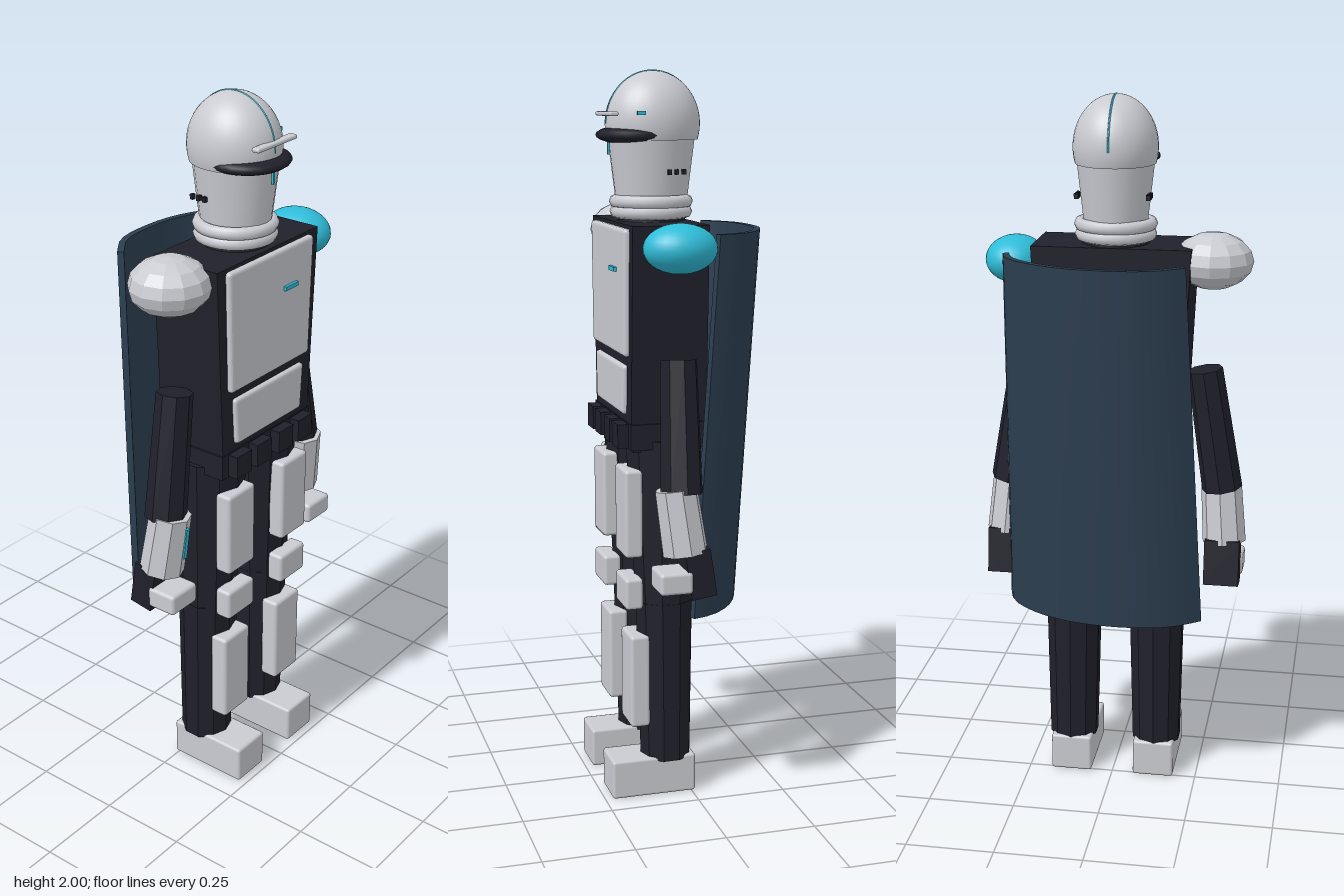
import * as THREE from 'three';
import { RoundedBoxGeometry } from 'three/addons/geometries/RoundedBoxGeometry.js';

const mat = (name, color, extra = {}) => Object.assign(new THREE.MeshStandardMaterial({ color, ...extra }), { name });

export function createModel() {
  const root = new THREE.Group();
  root.name = 'armouredFigure';
  const armour = mat('armourGrey', 0xc9cbd1);
  const facetArmour = armour;
  const suit = mat('suitDark', 0x20202b);
  const cloth = mat('capeBlue', 0x2c3e50);
  const cyan = mat('accentCyan', 0x2fbcd8);

  const add = (name, geo, material, x = 0, y = 0, z = 0, parent = root) => {
    const m = new THREE.Mesh(geo, material);
    m.name = name;
    m.position.set(x, y, z);
    parent.add(m);
    return m;
  };
  const box = (w, h, d) => new THREE.BoxGeometry(w, h, d);
  const plate = (w, h, d, r = 0.01) => new RoundedBoxGeometry(w, h, d, 2, r);
  // Box or plate whose width varies linearly from bottom to top
  const taper = (geo, h, bottom) => {
    const p = geo.attributes.position;
    for (let i = 0; i < p.count; i++) {
      const t = p.getY(i) / h + 0.5;
      p.setX(i, p.getX(i) * (bottom + (1 - bottom) * t));
    }
    geo.computeVertexNormals();
    return geo;
  };
  const flat = (geo) => {
    const g = geo.toNonIndexed();
    g.computeVertexNormals();
    return g;
  };
  // Faceted limb between two points
  const limb = (name, a, b, ra, rb, material, sides = 10) => {
    const A = new THREE.Vector3(...a), B = new THREE.Vector3(...b);
    const d = A.clone().sub(B);
    const m = add(name, flat(new THREE.CylinderGeometry(ra, rb, d.length(), sides)), material);
    m.position.copy(A).add(B).multiplyScalar(0.5);
    m.quaternion.setFromUnitVectors(new THREE.Vector3(0, 1, 0), d.normalize());
    return m;
  };

  // Torso and waist
  add('torso', taper(box(0.44, 0.54, 0.21), 0.54, 0.88), suit, 0, 1.33, 0.07);
  add('pelvis', box(0.36, 0.1, 0.19), suit, 0, 1.04, 0.07);
  add('belt', box(0.4, 0.07, 0.215), suit, 0, 1.035, 0.07);
  for (const x of [-0.14, -0.05, 0.05, 0.14])
    add('beltPouch', box(0.065, 0.065, 0.04), suit, x, 1.035, 0.187);
  add('chestPlate', taper(plate(0.37, 0.34, 0.03), 0.34, 0.94), armour, 0, 1.42, 0.175);
  add('abdomenPlate', taper(plate(0.31, 0.135, 0.025), 0.135, 0.94), armour, 0, 1.157, 0.175);
  add('chestMark', box(0.055, 0.012, 0.008), cyan, 0.076, 1.478, 0.194);

  // Neck rings
  add('neck', new THREE.CylinderGeometry(0.085, 0.095, 0.09, 20), suit, 0, 1.63, 0.065);
  [[1.652, 0.097], [1.624, 0.095]].forEach(([y, r]) => {
    const ring = add('collarRing', new THREE.TorusGeometry(r, 0.018, 8, 28), armour, 0, y, 0.065);
    ring.rotation.x = Math.PI / 2;
  });

  // Helmet
  const dome = add('helmetDome', new THREE.SphereGeometry(1, 32, 20, 0, Math.PI * 2, 0, Math.PI * 0.6), armour, 0, 1.86, 0.06);
  dome.scale.set(0.116, 0.14, 0.13);
  const jaw = add('helmetJaw', new THREE.CylinderGeometry(0.108, 0.088, 0.18, 20), armour, 0, 1.745, 0.064);
  jaw.scale.z = 1.12;
  const visor = add('visor', new THREE.SphereGeometry(1, 24, 12), suit, 0, 1.83, 0.107);
  visor.scale.set(0.116, 0.028, 0.109);
  add('browBar', plate(0.166, 0.012, 0.025, 0.005), armour, 0, 1.886, 0.187);
  const crest = add('crestStripe', new THREE.TorusGeometry(1, 0.03, 6, 48, Math.PI), cyan, 0, 1.86, 0.06);
  crest.rotation.y = Math.PI / 2;
  crest.scale.set(0.128, 0.138, 0.1);
  add('visorMark', box(0.006, 0.035, 0.006), cyan, 0, 1.795, 0.184);
  add('templeMark', box(0.008, 0.01, 0.022), cyan, 0.107, 1.888, 0.12);
  for (const s of [-1, 1])
    for (let i = 0; i < 3; i++)
      add('cheekVent', box(0.012, 0.014, 0.01), suit, s * 0.098, 1.733, 0.04 - i * 0.02);

  // Mismatched pauldrons
  const rough = add('rightPauldron', flat(new THREE.SphereGeometry(1, 12, 8)), facetArmour, -0.27, 1.557, 0.062);
  rough.scale.set(0.111, 0.078, 0.109);
  const smooth = add('leftPauldron', new THREE.SphereGeometry(1, 28, 18), cyan, 0.281, 1.545, 0.064);
  smooth.scale.set(0.084, 0.066, 0.099);

  for (const s of [-1, 1]) {
    const side = s > 0 ? 'left' : 'right';
    // Arms
    limb(side + 'UpperArm', [s * 0.253, 1.25, 0.06], [s * 0.307, 0.9, 0.068], 0.05, 0.058, suit, 8);
    limb(side + 'Gauntlet', [s * 0.303, 0.915, 0.082], [s * 0.317, 0.74, 0.06], 0.058, 0.062, armour, 8);
    const hand = add(side + 'Hand', box(0.1, 0.13, 0.07), suit, s * 0.315, 0.69, 0.03);
    hand.rotation.x = 0.15;
    add(side + 'HandGuard', plate(0.105, 0.06, 0.09), armour, s * 0.319, 0.67, 0.098);

    // Legs
    limb(side + 'Thigh', [s * 0.115, 1.02, 0.068], [s * 0.123, 0.54, 0.065], 0.103, 0.08, suit);
    limb(side + 'Shin', [s * 0.123, 0.56, 0.065], [s * 0.125, 0.1, 0.062], 0.082, 0.072, suit);
    add(side + 'ThighPlate', plate(0.117, 0.245, 0.05), armour, s * 0.123, 0.818, 0.164);
    add(side + 'KneePlate', plate(0.117, 0.088, 0.05), armour, s * 0.123, 0.592, 0.164);
    add(side + 'ShinPlate', plate(0.114, 0.265, 0.055), armour, s * 0.122, 0.337, 0.147);
    add(side + 'Boot', plate(0.12, 0.11, 0.24, 0.008), armour, s * 0.123, 0.055, 0.109);
  }
  add('gauntletMark', box(0.013, 0.095, 0.008), cyan, -0.3, 0.835, 0.131).rotation.x = 0.12;

  // Cape: a slab bent between a top and a bottom curve
  const curve = (pts) => new THREE.CatmullRomCurve3(pts.map(([x, z]) => new THREE.Vector3(x, 0, z)));
  const top = curve([[-0.215, -0.15], [-0.13, -0.208], [0, -0.222], [0.1, -0.207], [0.2, -0.16], [0.265, -0.1], [0.287, -0.038]]);
  const hem = curve([[-0.265, -0.08], [-0.19, -0.132], [-0.1, -0.155], [0, -0.157], [0.1, -0.14], [0.2, -0.095], [0.275, -0.025], [0.298, 0.035]]);
  const cape = new THREE.BoxGeometry(1, 1, 1, 16, 6, 1);
  const p = cape.attributes.position;
  for (let i = 0; i < p.count; i++) {
    const u = p.getX(i) + 0.5, t = p.getY(i) + 0.5, w = p.getZ(i) * 0.018;
    const c = hem.getPointAt(u).lerp(top.getPointAt(u), t);
    const d = hem.getTangentAt(u).lerp(top.getTangentAt(u), t).normalize();
    p.setXYZ(i, c.x - d.z * w, 0.55 + 1.03 * t, c.z + d.x * w);
  }
  cape.computeVertexNormals();
  add('cape', cape, cloth);

  return root;
}
